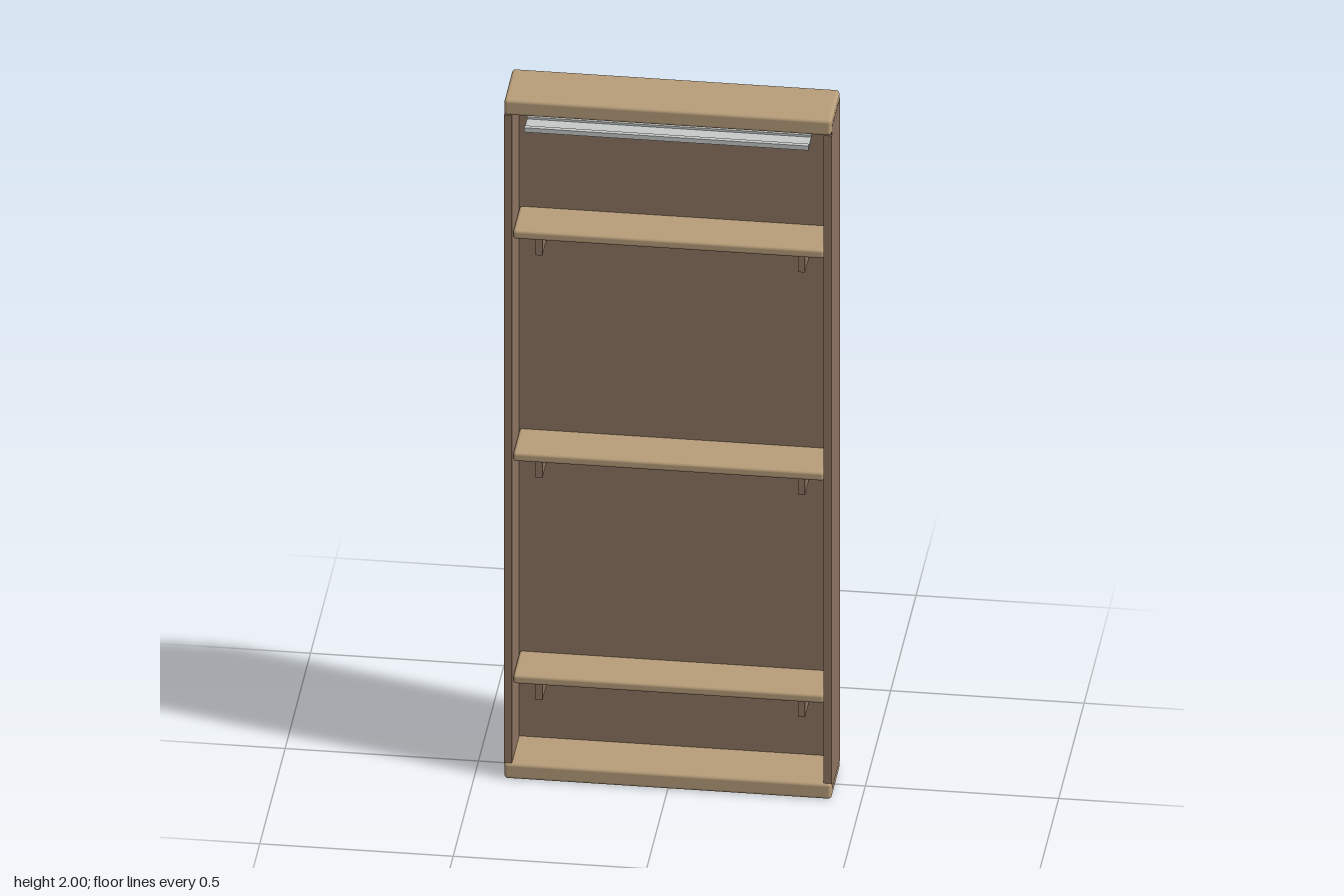
import * as THREE from 'three';
import { RoundedBoxGeometry } from 'three/addons/geometries/RoundedBoxGeometry.js';

export function createModel() {
  const model = new THREE.Group();
  model.name = 'shelfCabinet';

  const material = (name, color) => {
    const m = new THREE.MeshStandardMaterial({ color });
    m.name = name;
    return m;
  };
  const lightWood = material('lightWood', 0xb89e7a);
  const darkWood = material('darkWood', 0x8c7260);
  const metal = material('lightMetal', 0xc6cac8);

  // Box given by its min and max on each axis; a radius rounds its edges
  const box = (name, mat, [x0, x1], [y0, y1], [z0, z1], radius = 0, parent = model) => {
    const size = [x1 - x0, y1 - y0, z1 - z0];
    const geometry = radius
      ? new RoundedBoxGeometry(...size, 3, radius)
      : new THREE.BoxGeometry(...size);
    const mesh = new THREE.Mesh(geometry, mat);
    mesh.name = name;
    mesh.position.set((x0 + x1) / 2, (y0 + y1) / 2, (z0 + z1) / 2);
    parent.add(mesh);
    return mesh;
  };

  // Rounded top and base boards
  box('baseBoard', lightWood, [-0.423, 0.423], [0, 0.046], [-0.084, 0.084], 0.009);
  box('topBoard', lightWood, [-0.423, 0.423], [1.954, 2], [-0.084, 0.084], 0.009);

  // Back panel between the boards
  box('backPanel', darkWood, [-0.41, 0.41], [0.04, 1.96], [-0.0835, -0.063]);

  // Side panels with tongues let into the ends of the boards
  for (const [name, s] of [['left', 1], ['right', -1]]) {
    const side = new THREE.Group();
    side.name = name + 'Side';
    const span = (a, b) => (s > 0 ? [a, b] : [-b, -a]);
    box(name + 'Panel', darkWood, span(0.403, 0.4235), [0.046, 1.954], [-0.0835, 0.08], 0, side);
    box(name + 'TopTongue', darkWood, span(0.403, 0.4235), [1.954, 1.977], [-0.08, 0.072], 0, side);
    box(name + 'BaseTongue', darkWood, span(0.403, 0.4235), [0.024, 0.046], [-0.08, 0.072], 0, side);
    model.add(side);
  }

  // Three shelves, each on a pair of brackets
  [0.272, 0.927, 1.582].forEach((y, i) => {
    const unit = new THREE.Group();
    unit.name = 'shelfUnit' + (i + 1);
    box('shelf', lightWood, [-0.402, 0.402], [y, y + 0.026], [-0.066, 0.068], 0.008, unit);
    for (const x of [-0.343, 0.336]) {
      box('bracket', darkWood, [x - 0.009, x + 0.009], [y - 0.077, y + 0.004], [-0.064, 0.007], 0, unit);
    }
    model.add(unit);
  });

  // Slim metal strip below the top board, with raised rails along its edges
  const strip = new THREE.Group();
  strip.name = 'metalStrip';
  box('stripPlate', metal, [-0.371, 0.364], [1.909, 1.916], [0.015, 0.084], 0, strip);
  for (const z of [0.021, 0.078]) {
    box('stripRail', metal, [-0.371, 0.364], [1.909, 1.922], [z - 0.006, z + 0.006], 0, strip);
  }
  model.add(strip);

  return model;
}
